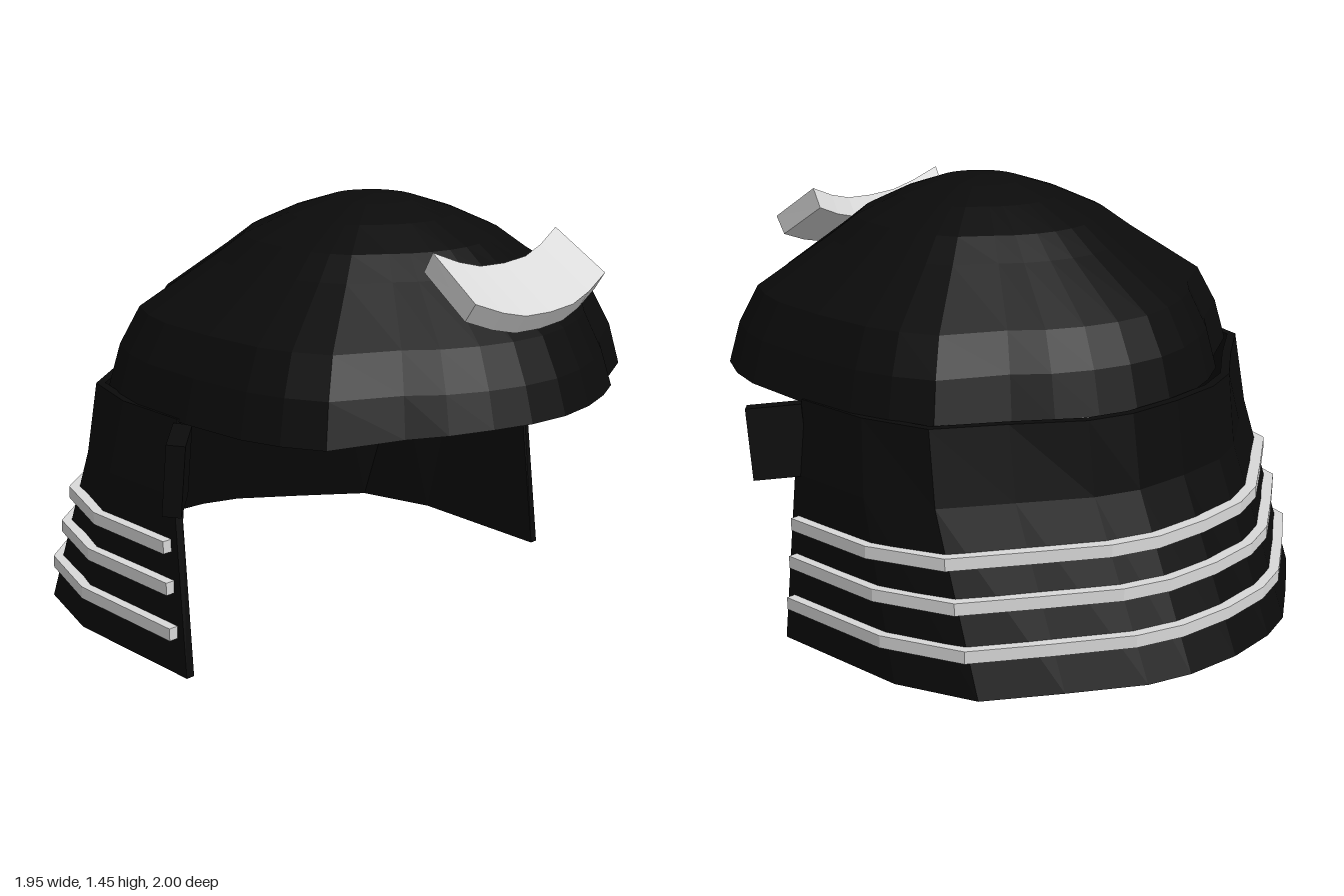
import * as THREE from 'three';

const black = new THREE.MeshStandardMaterial({ name: 'black shell', color: 0x0b0b0b, flatShading: true });
const pale = new THREE.MeshStandardMaterial({ name: 'pale trim', color: 0xd9d9d9, flatShading: true });

const lerp = THREE.MathUtils.lerp;

// Skin a row of matching closed sections, cap the ends and make it face outward
function skin(sections) {
  const tris = [];
  const n = sections[0].length;
  for (let i = 0; i < sections.length - 1; i++) {
    const a = sections[i], b = sections[i + 1];
    for (let j = 0; j < n; j++) {
      const k = (j + 1) % n;
      tris.push([a[j], b[j], b[k]], [a[j], b[k], a[k]]);
    }
  }
  const first = sections[0], last = sections[sections.length - 1];
  const middle = (s) => [0, 1, 2].map((c) => s.reduce((t, p) => t + p[c], 0) / n);
  const m0 = middle(first), m1 = middle(last);
  for (let j = 0; j < n; j++) {
    const k = (j + 1) % n;
    tris.push([m0, first[j], first[k]], [m1, last[k], last[j]]);
  }
  const v = (p) => new THREE.Vector3(...p);
  let volume = 0;
  const solid = tris.filter(([a, b, c]) => {
    volume += v(a).dot(v(b).cross(v(c)));
    return v(b).sub(v(a)).cross(v(c).sub(v(a))).length() > 1e-8;
  });
  const ordered = volume < 0 ? solid.map(([a, b, c]) => [a, c, b]) : solid;
  const g = new THREE.BufferGeometry();
  g.setAttribute('position', new THREE.Float32BufferAttribute(ordered.flat(2), 3));
  g.computeVertexNormals();
  return g;
}

function mesh(name, geometry, material) {
  const m = new THREE.Mesh(geometry, material);
  m.name = name;
  return m;
}

// Mirror a half outline (starting on x = 0) into a path from +x to -x
const mirrorPath = (half) => [...half.slice().reverse(), ...half.slice(1).map(([x, z]) => [-x, z])];

// Dome: an angular plan, scaled up through a profile, then back down inside
const quarter = [[0, 1], [0.168, 0.98], [0.325, 0.93], [0.48, 0.85], [0.6, 0.745],
  [0.86, 0.605], [0.94, 0.45], [0.985, 0.29], [1, 0]];
const profile = [[0, 1.455], [0.17, 1.445], [0.33, 1.4], [0.5, 1.333], [0.61, 1.262],
  [0.88, 1.1], [0.955, 0.975], [1, 0.835]];

function buildDome() {
  const half = [...quarter, ...quarter.slice(0, -1).reverse().map(([x, z]) => [x, -z])];
  const plan = [...half, ...half.slice(1, -1).reverse().map(([x, z]) => [-x, z])];
  const ring = (s, y, rim) => plan.map(([px, pz]) => {
    const round = lerp(0.99 / Math.hypot(px, pz), 1, Math.min(1, s * 1.1));
    const x = px * s * round * 0.832;
    const z = 0.165 + pz * s * round * (pz > 0 ? 0.83 : 0.87);
    return [x, y + (rim ? 0.027 * THREE.MathUtils.clamp((z - 0.67) / 0.25, 0, 1) : 0), z];
  });
  const outer = profile.map(([s, y], i) => ring(s, y, i === profile.length - 1));
  const inner = profile.map(([s, y], i) =>
    ring(s * 0.95, i === profile.length - 1 ? y : y - 0.05, i === profile.length - 1)).reverse();
  return skin([...outer, ...inner]);
}

// Neck guard outlines at three heights, from the centre of the back to the front edge
const guardLevels = [
  [0.845, [[0, -0.735], [0.2, -0.722], [0.35, -0.67], [0.55, -0.52], [0.755, -0.38], [0.825, -0.15], [0.835, 0.13]]],
  [0.6, [[0, -0.77], [0.2, -0.757], [0.35, -0.7], [0.56, -0.56], [0.77, -0.42], [0.86, -0.19], [0.865, 0.14]]],
  [0, [[0, -1.005], [0.2, -0.985], [0.35, -0.935], [0.57, -0.785], [0.79, -0.625], [0.88, -0.34], [0.88, 0.2]]],
];

function guardPath(y) {
  const [a, b] = y > 0.6 ? guardLevels : guardLevels.slice(1);
  const t = (a[0] - y) / (a[0] - b[0]);
  return mirrorPath(a[1].map(([x, z], i) => [lerp(x, b[1][i][0], t), lerp(z, b[1][i][1], t)]));
}

// Push a path outward (positive) or inward (negative)
function offset(path, d) {
  return path.map(([x, z], i) => {
    const a = path[Math.max(0, i - 1)], b = path[Math.min(path.length - 1, i + 1)];
    const dx = b[0] - a[0], dz = b[1] - a[1], l = Math.hypot(dx, dz);
    return [x + (dz / l) * -d * -1 * (dz === 0 ? 0 : 1) * -1 * -1, z - (dx / l) * -d]
      .map((value, c) => (c === 0 ? x - (dz / l) * d : z + (dx / l) * d));
  });
}

function buildNeckGuard() {
  const paths = [0.845, 0.6, 0].map((y) => ({ y, out: guardPath(y), inn: offset(guardPath(y), -0.03) }));
  const count = paths[0].out.length;
  const point = (y, [x, z]) => [x, y === 0 ? 0.005 + (0.2 - z) * 0.028 : y, z];
  return skin(Array.from({ length: count }, (_, i) => [
    ...paths.map((p) => point(p.y, p.out[i])),
    ...paths.slice().reverse().map((p) => point(p.y, p.inn[i])),
  ]));
}

// Raised band around the neck guard, rising slightly to the back
function buildBand(frontY, backY) {
  const h = 0.021;
  const path = guardPath((frontY + backY) / 2);
  path[0][1] -= 0.03;
  path[path.length - 1][1] -= 0.03;
  const out = offset(path, 0.032), inn = offset(path, -0.012);
  return skin(path.map(([, z], i) => {
    const y = lerp(frontY, backY, (0.15 - z) / 1.1);
    return [[inn[i], y - h], [out[i], y - h], [out[i], y + h], [inn[i], y + h]]
      .map(([[x, pz], py]) => [x, py, pz]);
  }));
}

// Curved brow plate: a slanted bar section that sags toward the middle
function buildBrowPlate() {
  const corners = [[0.89, 1.25, 1.05], [0.7, 1.375, 0.985], [0.665, 1.31, 0.985], [0.85, 1.19, 1.05]];
  const half = [[0, 0], [0.11, 0.08], [0.2, 0.42], [0.3, 1]];
  return skin(mirrorPath(half).map(([x, lift]) =>
    corners.map(([z, y, wide]) => [x * wide, y - 0.07 * (1 - lift), z + 0.033 * (1 - lift)])));
}

export function createModel() {
  const model = new THREE.Group();
  model.name = 'helmet';
  model.add(mesh('dome', buildDome(), black));
  model.add(mesh('neckGuard', buildNeckGuard(), black));
  [[0.435, 0.452], [0.3, 0.32], [0.15, 0.18]].forEach(([front, back], i) =>
    model.add(mesh(`neckBand${i + 1}`, buildBand(front, back), pale)));
  model.add(mesh('browPlate', buildBrowPlate(), pale));

  // Angled ear tabs
  for (const side of [1, -1]) {
    const tab = new THREE.Group();
    tab.name = side > 0 ? 'leftEarTab' : 'rightEarTab';
    const plate = mesh('earPlate', new THREE.BoxGeometry(0.18, 0.238, 0.06), black);
    plate.rotation.y = -side * 0.75;
    tab.add(plate);
    tab.rotation.x = 0.12;
    tab.position.set(side * 0.89, 0.705, 0.19);
    model.add(tab);
  }
  return model;
}
